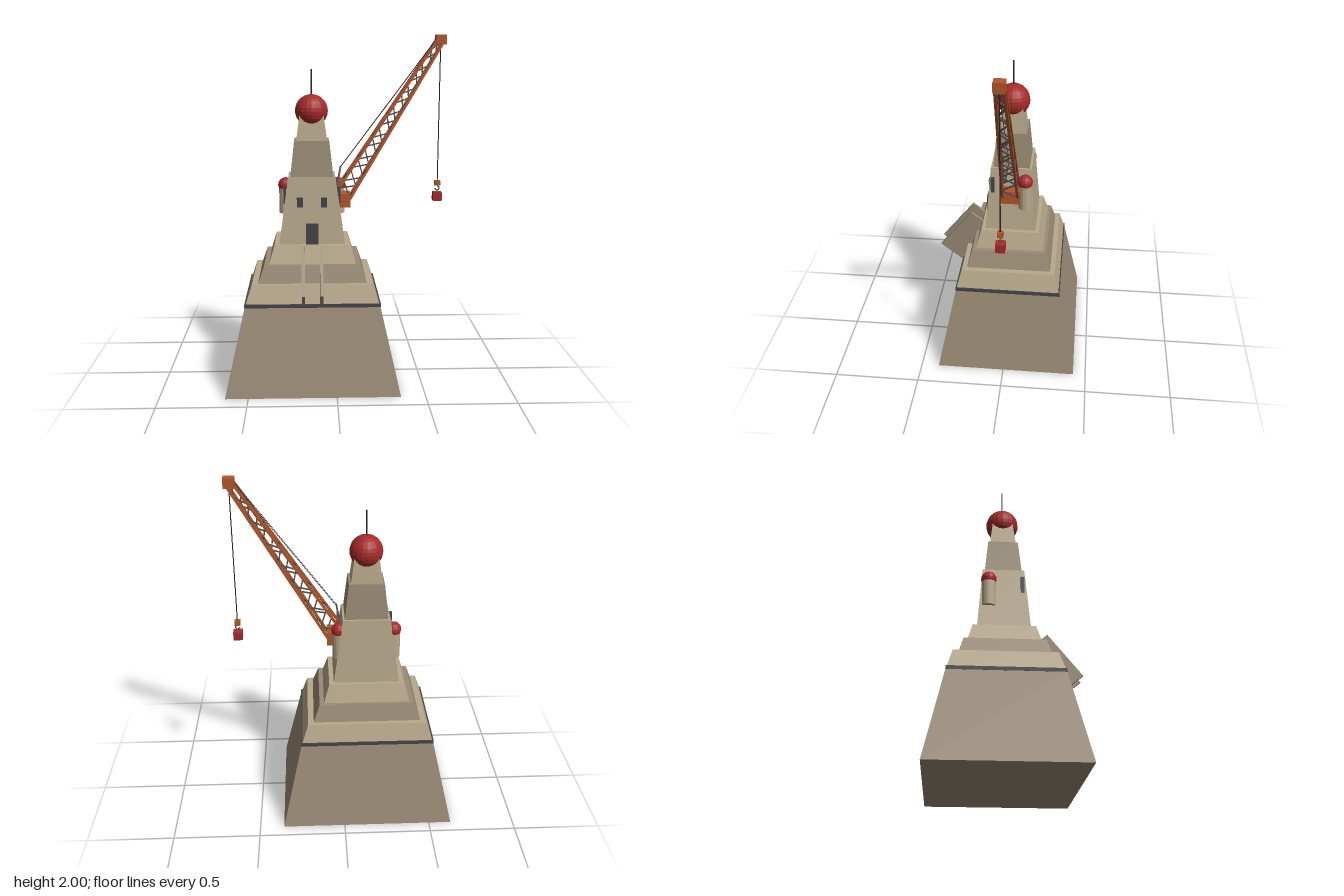
import * as THREE from 'three';

const mat = (color, flatShading = true) => new THREE.MeshStandardMaterial({ color, flatShading });
const lightStone = mat(0xb8a98c), darkStone = mat(0x9a8b75), dark = mat(0x45454a);
const orange = mat(0xb3562a), red = mat(0xa52a2a), black = mat(0x222222), metal = mat(0x555555);
const CX = -0.135, CZ = -0.015; // tower axis

const V = (x, y, z) => new THREE.Vector3(x, y, z);

function add(parent, name, geometry, material, x = 0, y = 0, z = 0) {
  const mesh = new THREE.Mesh(geometry, material);
  mesh.name = name;
  mesh.position.set(x, y, z);
  parent.add(mesh);
  return mesh;
}

const box = (parent, name, w, h, d, material, x, y, z) =>
  add(parent, name, new THREE.BoxGeometry(w, h, d), material, x, y, z);

// Four-sided frustum: bottom half sizes (bx, bz), top half sizes (tx, tz)
function frustum(bx, bz, tx, tz, h) {
  const g = new THREE.BoxGeometry(2, h, 2);
  const p = g.attributes.position;
  for (let i = 0; i < p.count; i++) {
    const top = p.getY(i) > 0;
    p.setX(i, p.getX(i) * (top ? tx : bx));
    p.setZ(i, p.getZ(i) * (top ? tz : bz));
  }
  g.computeVertexNormals();
  return g;
}

// Bar between two points; sides = 4 gives a square section
function bar(parent, name, a, b, radius, material, sides = 4) {
  const d = b.clone().sub(a);
  const g = new THREE.CylinderGeometry(radius, radius, d.length(), sides);
  if (sides === 4) g.rotateY(Math.PI / 4);
  const m = add(parent, name, g, material);
  m.position.copy(a).add(b).multiplyScalar(0.5);
  m.quaternion.setFromUnitVectors(V(0, 1, 0), d.normalize());
  return m;
}

function createTower() {
  const tower = new THREE.Group();
  tower.name = 'tower';
  tower.position.set(CX, 0, CZ);

  // Stepped tiers: name, y0, y1, bottom half x/z, top half x/z, material
  const tiers = [
    ['base', 0, 0.5, 0.495, 0.411, 0.382, 0.307, darkStone],
    ['darkBand', 0.497, 0.517, 0.384, 0.308, 0.384, 0.308, dark],
    ['lowerTier', 0.515, 0.62, 0.376, 0.302, 0.342, 0.274, lightStone],
    ['secondTier', 0.62, 0.72, 0.308, 0.246, 0.273, 0.219, darkStone],
    ['thirdTier', 0.72, 0.825, 0.247, 0.2, 0.215, 0.17, lightStone],
    ['mainTier', 0.825, 1.205, 0.188, 0.147, 0.135, 0.118, lightStone],
    ['upperTier', 1.205, 1.41, 0.123, 0.105, 0.1, 0.086, darkStone],
    ['topTier', 1.41, 1.56, 0.088, 0.075, 0.068, 0.058, lightStone],
  ];
  for (const [name, y0, y1, bx, bz, tx, tz, m] of tiers)
    add(tower, name, frustum(bx, bz, tx, tz, y1 - y0), m, 0, (y0 + y1) / 2, 0);

  // Dome and antenna
  add(tower, 'dome', new THREE.SphereGeometry(0.094, 20, 14), red, 0, 1.575, 0);
  add(tower, 'antenna', new THREE.CylinderGeometry(0.004, 0.004, 0.16, 8), black, 0, 1.73, 0);

  // Door
  box(tower, 'door', 0.07, 0.12, 0.02, dark, 0, 0.885, 0.146);

  for (const s of [-1, 1]) {
    // Windows
    box(tower, 'frontWindow', 0.035, 0.055, 0.02, dark, s * 0.069, 1.065, 0.127);
    box(tower, 'sideWindow', 0.016, 0.095, 0.021, dark, s * 0.155, 1.103, 0.106);
    // Side turrets with round caps
    add(tower, 'turret', new THREE.CylinderGeometry(0.039, 0.039, 0.165, 14), lightStone, s * 0.155, 1.047, -0.083);
    add(tower, 'turretCap', new THREE.SphereGeometry(0.044, 14, 10), red, s * 0.155, 1.132, -0.083);
    // Sloping buttress slabs in front of the door
    const slab = box(tower, 'buttress', 0.017, 0.169, 0.307, darkStone, s * 0.051, 0.672, 0.28);
    slab.rotation.x = 0.896;
  }
  return tower;
}

function createCrane() {
  const crane = new THREE.Group();
  crane.name = 'crane';
  const foot = V(0.047, 1.09, CZ), tip = V(0.598, 1.972, CZ);
  const dir = tip.clone().sub(foot).normalize();
  const up = V(-dir.y, dir.x, 0);

  box(crane, 'cranePivot', 0.064, 0.08, 0.112, orange, 0.055, 1.06, CZ);
  box(crane, 'boomHead', 0.06, 0.055, 0.06, orange, 0.598, 1.972, CZ);

  // Point on one of the four boom chords at fraction t
  const corners = [[1, 1], [1, -1], [-1, -1], [-1, 1]];
  const chordPoint = (c, t) => {
    const [u, w] = corners[c % 4];
    return foot.clone().lerp(tip, t)
      .addScaledVector(up, u * THREE.MathUtils.lerp(0.045, 0.018, t))
      .add(V(0, 0, w * THREE.MathUtils.lerp(0.044, 0.021, t)));
  };

  // Chords and zigzag lattice on all four faces
  const bays = 14;
  for (let c = 0; c < 4; c++) {
    bar(crane, 'boomChord', chordPoint(c, 0), chordPoint(c, 1), 0.01, orange);
    for (let i = 0; i < bays; i++) {
      const odd = i % 2;
      bar(crane, 'boomLattice', chordPoint(c + odd, i / bays), chordPoint(c + 1 - odd, (i + 1) / bays), 0.005, metal);
    }
  }

  // A-frame and stay cables behind the boom
  const apex = V(0.032, 1.25, CZ);
  for (const s of [-1, 1]) {
    bar(crane, 'frameLeg', V(0.005, 1.1, CZ + s * 0.04), apex.clone().add(V(0, 0, s * 0.012)), 0.006, metal);
    bar(crane, 'stayCable', apex.clone().add(V(0, 0, s * 0.01)), V(0.58, 1.985, CZ + s * 0.01), 0.0015, black, 6);
  }

  // Hoist cable, hook block, hook and load
  bar(crane, 'hoistCable', V(0.598, 1.95, CZ), V(0.598, 1.16, CZ), 0.003, black, 6);
  box(crane, 'hookBlock', 0.032, 0.028, 0.032, orange, 0.598, 1.152, CZ);
  const hook = add(crane, 'hook', new THREE.TorusGeometry(0.012, 0.004, 6, 12, Math.PI * 1.5), metal, 0.598, 1.122, CZ);
  hook.rotation.z = Math.PI;
  box(crane, 'load', 0.052, 0.048, 0.052, red, 0.598, 1.074, CZ);
  return crane;
}

export function createModel() {
  const model = new THREE.Group();
  model.name = 'towerWithCrane';
  model.add(createTower(), createCrane());
  return model;
}
